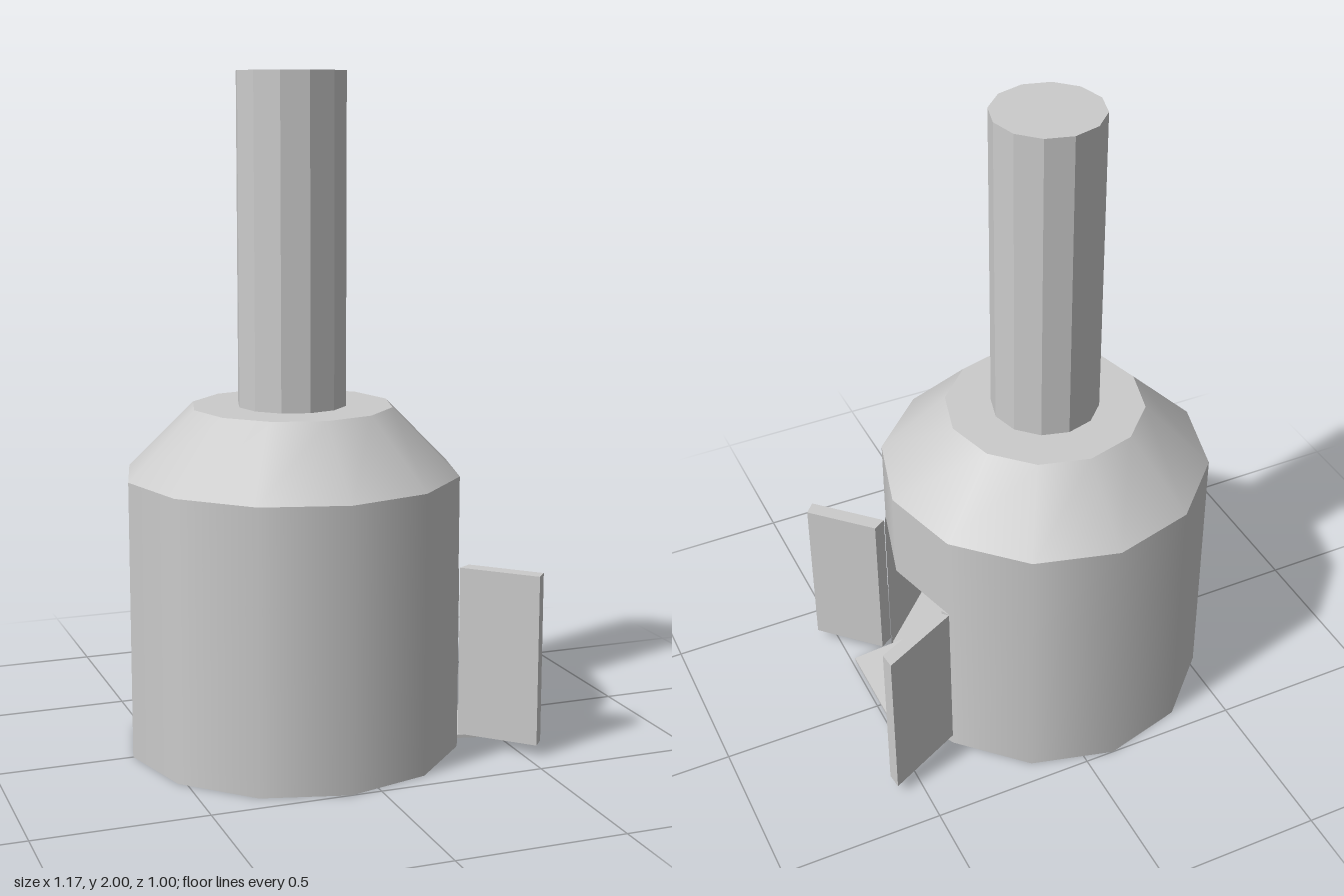
import * as THREE from 'three';

const CX = -0.09; // axis of the furnace body
const R = 0.5;
const deg = THREE.MathUtils.degToRad;

export function createModel() {
  const model = new THREE.Group();
  const shell = new THREE.MeshStandardMaterial({ color: 0xcccccc, side: THREE.DoubleSide });
  const flat = new THREE.MeshStandardMaterial({ color: 0xcccccc, flatShading: true });

  const add = (name, geometry, material) => {
    const mesh = new THREE.Mesh(geometry, material);
    mesh.name = name;
    model.add(mesh);
    return mesh;
  };

  // Open ring, or part of one, between two heights (angles in degrees, 90 = +x)
  const ring = (name, y0, y1, rTop, start = 0, sweep = 360, segments = 12) => {
    const g = new THREE.CylinderGeometry(rTop, R, y1 - y0, segments, 1, true, deg(start), deg(sweep));
    add(name, g, shell).position.set(CX, (y0 + y1) / 2, 0);
  };

  // Hollow twelve-sided body with a doorway on the +x side
  ring('upperWall', 0.55, 0.83, R);
  ring('lowerWall', 0, 0.55, R, 120, 300, 10);
  ring('frontJamb', 0, 0.55, R, 60, 3.6, 1);
  ring('backJamb', 0, 0.55, R, 116.4, 3.6, 1);
  ring('sill', 0, 0.02, R, 60, 60, 2);
  ring('shoulder', 0.83, 1.03, 0.3);

  // Floor and lid
  const disc = (name, radius, y, tilt) => {
    const g = new THREE.CircleGeometry(radius, 12).rotateX(tilt);
    add(name, g, shell).position.set(CX, y, 0);
  };
  disc('floor', R, 0, Math.PI / 2);
  disc('lid', 0.3, 1.03, -Math.PI / 2);

  // Chimney
  add('chimney', new THREE.CylinderGeometry(0.162, 0.162, 0.97, 12), flat).position.set(CX, 1.515, 0);

  // Open doors: plan outlines in (x, z), raised to door height
  const door = (name, corners) => {
    const shape = new THREE.Shape(corners.map(([x, z]) => new THREE.Vector2(x, -z)));
    const g = new THREE.ExtrudeGeometry(shape, { depth: 0.515, bevelEnabled: false });
    add(name, g.rotateX(-Math.PI / 2), flat).position.y = 0.035;
  };
  door('frontDoor', [[0.355, 0.235], [0.395, 0.21], [0.56, 0.375], [0.53, 0.41]]);
  door('backDoor', [[0.345, -0.25], [0.375, -0.22], [0.585, -0.32], [0.58, -0.368]]);

  // Hearth plate sloping out of the doorway
  const hearth = add('hearthPlate', new THREE.BoxGeometry(0.17, 0.01, 0.44), flat);
  hearth.position.set(0.405, 0.016, 0);
  hearth.rotation.z = -0.09;

  return model;
}
